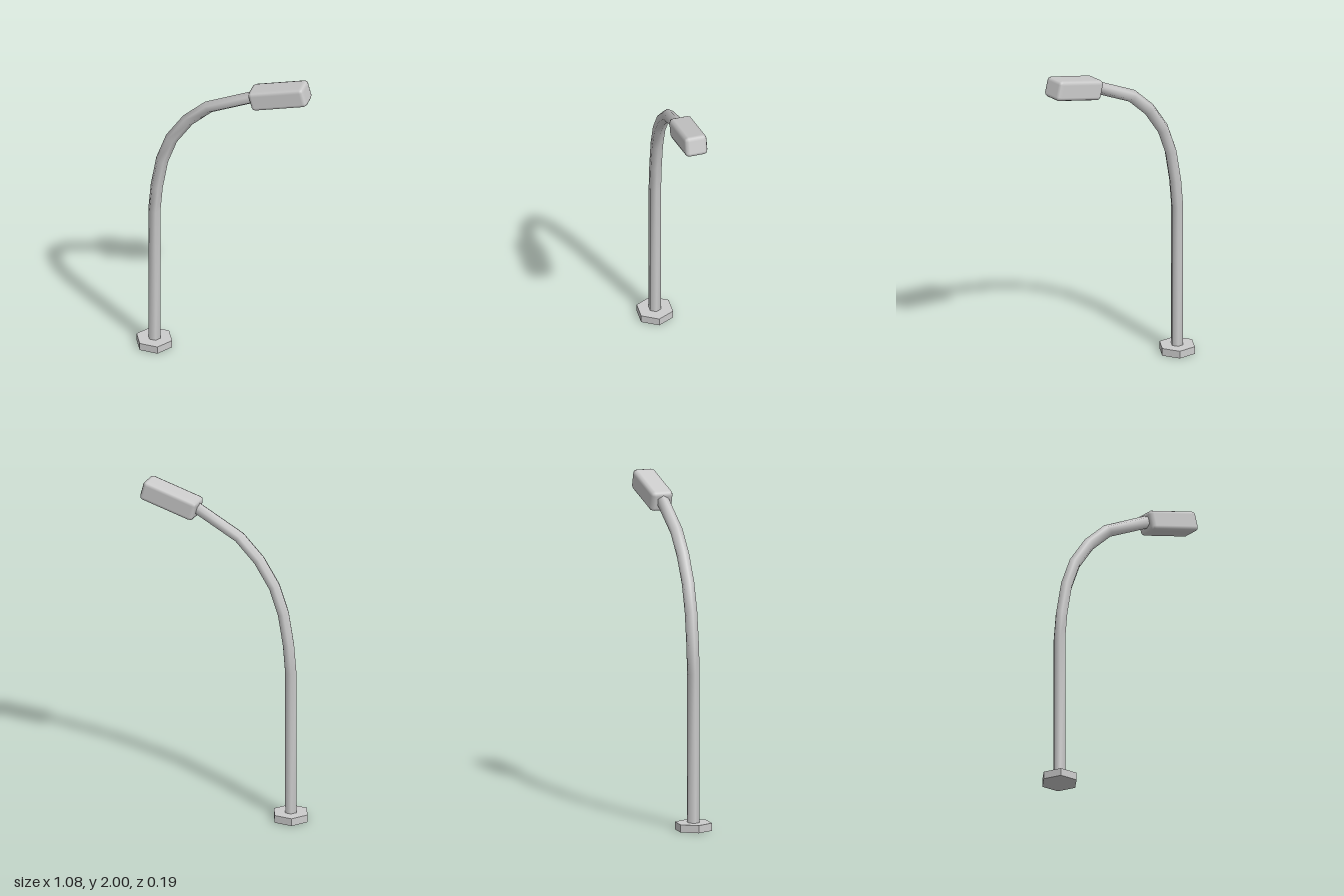
import * as THREE from 'three';
import { RoundedBoxGeometry } from 'three/addons/geometries/RoundedBoxGeometry.js';

// Sweeps a regular polygon ring along a path lying in the xy plane
function sweepGeometry(path, radius, sides) {
  const pts = path.map(([x, y]) => new THREE.Vector2(x, y));
  const position = [], index = [];
  pts.forEach((p, i) => {
    const t = new THREE.Vector2();
    if (i > 0) t.add(p.clone().sub(pts[i - 1]).normalize());
    if (i < pts.length - 1) t.add(pts[i + 1].clone().sub(p).normalize());
    t.normalize();
    for (let j = 0; j < sides; j++) {
      const a = (j / sides) * Math.PI * 2;
      const n = radius * Math.cos(a);
      position.push(p.x + t.y * n, p.y - t.x * n, radius * Math.sin(a));
      if (i < pts.length - 1) {
        const k = (j + 1) % sides;
        const a0 = i * sides + j, b0 = i * sides + k;
        index.push(a0, a0 + sides, b0, b0, a0 + sides, b0 + sides);
      }
    }
  });
  const geometry = new THREE.BufferGeometry();
  geometry.setAttribute('position', new THREE.Float32BufferAttribute(position, 3));
  geometry.setIndex(index);
  geometry.computeVertexNormals();
  return geometry;
}

export function createModel() {
  const group = new THREE.Group();
  group.name = 'streetLamp';
  const smooth = new THREE.MeshStandardMaterial({ color: 0xcccccc });
  const flat = new THREE.MeshStandardMaterial({ color: 0xcccccc, flatShading: true });
  const add = (name, geometry, material) => {
    const mesh = new THREE.Mesh(geometry, material);
    mesh.name = name;
    group.add(mesh);
    return mesh;
  };

  // Hexagonal foot plate, corners pointing along x
  const base = add('base', new THREE.CylinderGeometry(0.112, 0.112, 0.046, 6), flat);
  base.rotation.y = Math.PI / 2;
  base.position.set(-0.43, 0.023, 0);

  // Six-sided pole that bends over towards the lamp
  const path = [
    [-0.43, 0.02], [-0.43, 0.935], [-0.415, 1.105], [-0.381, 1.297], [-0.322, 1.458],
    [-0.22, 1.608], [-0.09, 1.729], [0.22, 1.875],
  ];
  add('pole', sweepGeometry(path, 0.038, 6), smooth);

  // Rounded lamp head, tilted up and turned slightly to the back
  const head = add('lampHead', new RoundedBoxGeometry(0.354, 0.125, 0.137, 1, 0.025), smooth);
  head.rotation.set(0, THREE.MathUtils.degToRad(3.7), THREE.MathUtils.degToRad(15));
  head.position.set(0.355, 1.9, -0.015);

  return group;
}
